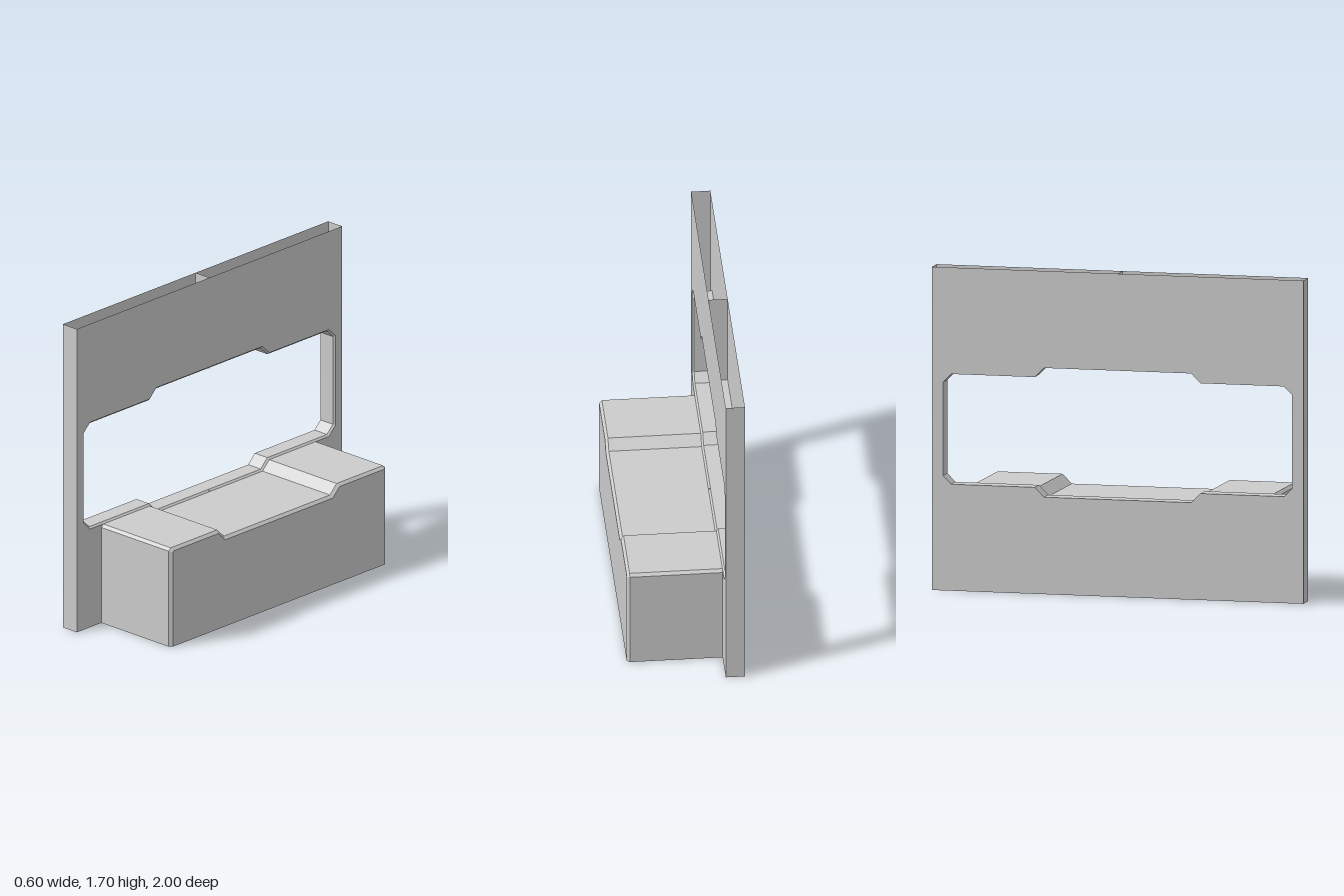
import * as THREE from 'three';

const material = new THREE.MeshStandardMaterial({ color: 0xcccccc, flatShading: true, side: THREE.DoubleSide });

// Mirrors half a [z, y] outline (z > 0, bottom to top) into a full loop.
const mirrored = (half) => [...half, ...half.map(([z, y]) => [-z, y]).reverse()];

// Joins two matching [z, y] loops at different x; swap the ends to face inward.
function loft(a, xa, b, xb) {
  const pos = [];
  a.forEach((_, i) => {
    const j = (i + 1) % a.length;
    const p = (l, x, k) => [x, l[k][1], l[k][0]];
    pos.push(...p(a, xa, i), ...p(b, xb, i), ...p(a, xa, j));
    pos.push(...p(b, xb, i), ...p(b, xb, j), ...p(a, xa, j));
  });
  const g = new THREE.BufferGeometry();
  g.setAttribute('position', new THREE.Float32BufferAttribute(pos, 3));
  g.computeVertexNormals();
  return g;
}

// Flat sheet across x, facing +x (side 1) or -x (side -1).
function sheet(loop, x, side, hole) {
  const shape = new THREE.Shape(loop.map((p) => new THREE.Vector2(...p)));
  if (hole) shape.holes.push(new THREE.Path(hole.map((p) => new THREE.Vector2(...p))));
  return new THREE.ShapeGeometry(shape).rotateY(side * Math.PI / 2).translate(x, 0, 0);
}

export function createModel() {
  const model = new THREE.Group();
  const add = (parent, name, geometry) => {
    const mesh = new THREE.Mesh(geometry, material);
    mesh.name = name;
    parent.add(mesh);
    return mesh;
  };

  // Hollow wall, open at the top and bottom, with a window
  const wall = new THREE.Group();
  wall.name = 'wall';
  model.add(wall);
  const back = -0.3, face = -0.2, bevel = 0.01;
  const outline = mirrored([[1, 0], [1, 1.7]]);
  const windowLoop = (d) => {
    const k = d * 0.414;
    return mirrored([
      [0.4 - k, 0.5 + d], [0.45 - k, 0.55 + d], [0.9 - k, 0.55 + d], [0.95 - d, 0.6 + k],
      [0.95 - d, 1.1 - k], [0.9 - k, 1.15 - d], [0.45 - k, 1.15 - d], [0.4 - k, 1.2 - d],
    ]);
  };
  const wide = windowLoop(0), narrow = windowLoop(bevel);
  add(wall, 'wallFront', sheet(outline, face, 1, wide));
  add(wall, 'wallBack', sheet(outline, back, -1, narrow));
  add(wall, 'windowReveal', loft(narrow, face - bevel, narrow, back));
  add(wall, 'windowBevel', loft(wide, face, narrow, face - bevel));

  // Upright end sheets and the inner dividers above and below the window
  const upright = (name, z, y0, y1) => {
    const g = new THREE.PlaneGeometry(0.1, y1 - y0);
    if (z < 0) g.rotateY(Math.PI);
    add(wall, name, g).position.set(-0.25, (y0 + y1) / 2, z);
  };
  for (const z of [-1, 1]) upright('wallEnd', z, 0, 1.7);
  upright('lowerDivider', 0, 0, 0.51);
  upright('upperDivider', 0, 1.19, 1.7);

  // Counter block with a sunken middle and bevelled top and corner edges
  const counter = new THREE.Group();
  counter.name = 'counter';
  model.add(counter);
  const c = 0.015, k = c * 0.414;
  const full = mirrored([[0.815, 0], [0.815, 0.535], [0.8, 0.55], [0.45, 0.55], [0.4, 0.5]]);
  const inset = mirrored([[0.8, 0], [0.8, 0.535 - k], [0.8 - k, 0.535], [0.45 + k, 0.535], [0.4 + k, 0.485]]);
  add(counter, 'counterBody', loft(full, face, full, 0.3 - c));
  add(counter, 'counterBevel', loft(full, 0.3 - c, inset, 0.3));
  add(counter, 'counterFront', sheet(inset, 0.3, 1));

  return model;
}
